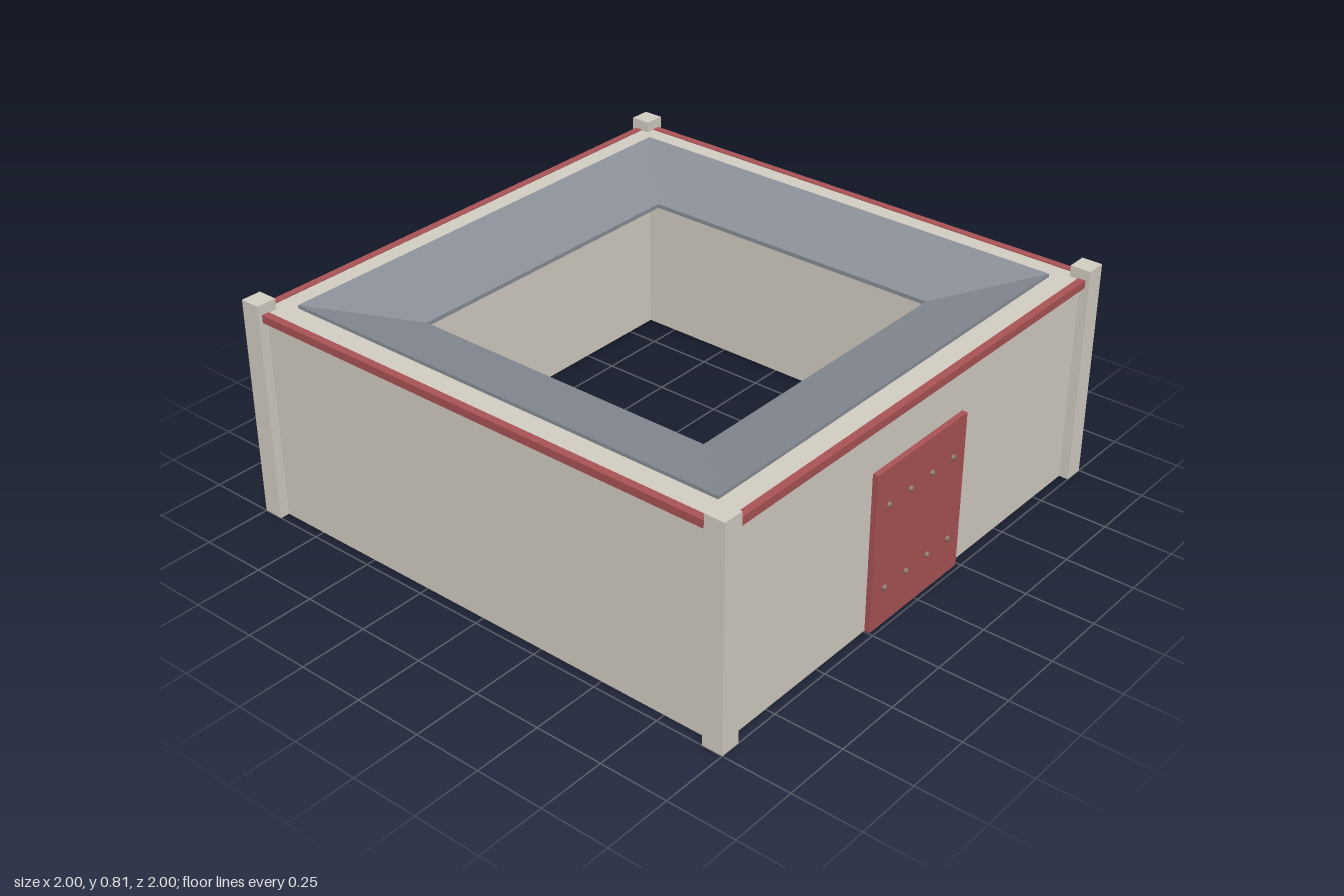
import * as THREE from 'three';

const stone = new THREE.MeshStandardMaterial({ color: 0xd5d0c5, flatShading: true });
const red = new THREE.MeshStandardMaterial({ color: 0xab5356, flatShading: true });
const slate = new THREE.MeshStandardMaterial({ color: 0x8a9099, flatShading: true });
const iron = new THREE.MeshStandardMaterial({ color: 0x8a7468 });

function add(parent, name, geometry, material, x = 0, y = 0, z = 0) {
  const mesh = new THREE.Mesh(geometry, material);
  mesh.name = name;
  mesh.position.set(x, y, z);
  parent.add(mesh);
  return mesh;
}

// Square ring: a closed section of [half width, height] swept around four sides
function squareRing(section) {
  const points = [...section, section[0]].map(([r, y]) => new THREE.Vector2(r * Math.SQRT2, y));
  const g = new THREE.LatheGeometry(points, 4, Math.PI / 4).toNonIndexed();
  g.computeVertexNormals();
  return g;
}

const rectSection = (inner, outer, y0, y1) => [[outer, y0], [outer, y1], [inner, y1], [inner, y0]];

export function createModel() {
  const model = new THREE.Group();
  model.name = 'courtyardHouse';

  // Outer walls and the painted band along their top
  add(model, 'walls', squareRing(rectSection(0.875, 0.965, 0, 0.775)), stone);
  add(model, 'topBand', squareRing(rectSection(0.957, 0.985, 0.75, 0.778)), red);

  // Roof sloping inward to the open court
  add(model, 'roof', squareRing([[0.875, 0.772], [0.875, 0.787], [0.585, 0.702], [0.585, 0.687]]), slate);

  // Corner posts
  const postGeometry = new THREE.BoxGeometry(0.075, 0.815, 0.075);
  for (const x of [-1, 1]) {
    for (const z of [-1, 1]) {
      add(model, 'cornerPost', postGeometry, stone, x * 0.9625, 0.4075, z * 0.9625);
    }
  }

  // Door with two rows of studs
  const door = new THREE.Group();
  door.name = 'door';
  model.add(door);
  add(door, 'doorPanel', new THREE.BoxGeometry(0.485, 0.585, 0.025), red, -0.002, 0.2925, 0.9725);
  const studGeometry = new THREE.SphereGeometry(0.011, 10, 8);
  for (const y of [0.14, 0.45]) {
    for (let i = 0; i < 4; i++) {
      add(door, 'doorStud', studGeometry, iron, -0.177 + i * 0.117, y, 0.984);
    }
  }

  // Round stone in the middle of the court
  add(model, 'courtStone', new THREE.CylinderGeometry(0.115, 0.115, 0.14, 14, 1, false, Math.PI / 2), stone, 0, 0.07, 0);

  return model;
}
